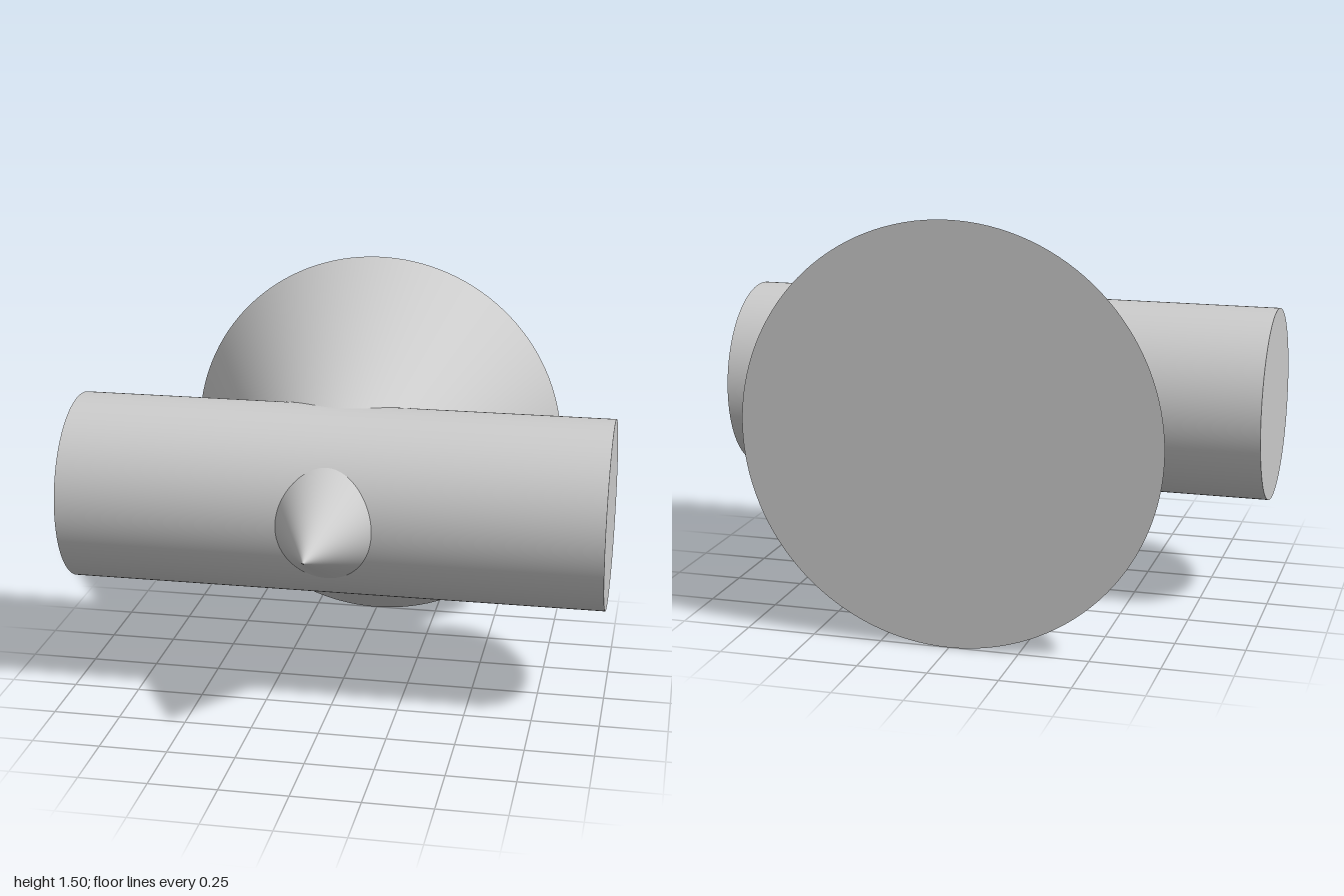
import * as THREE from 'three';

export function createModel() {
  const group = new THREE.Group();
  const material = new THREE.MeshStandardMaterial({ color: 0xcccccc });
  const centreY = 0.75;

  function addPart(name, geometry, z) {
    const mesh = new THREE.Mesh(geometry, material);
    mesh.name = name;
    mesh.position.set(0, centreY, z);
    group.add(mesh);
  }

  // Closed horizontal cylinder running left to right
  const cylinder = new THREE.CylinderGeometry(0.35, 0.35, 2, 128);
  cylinder.rotateZ(Math.PI / 2);
  addPart('crossCylinder', cylinder, 0.05);

  // Closed cone through the cylinder, tip to the front and base at the back
  const cone = new THREE.ConeGeometry(0.75, 1.5, 128, 8);
  cone.rotateX(Math.PI / 2);
  addPart('cone', cone, 0);

  return group;
}
